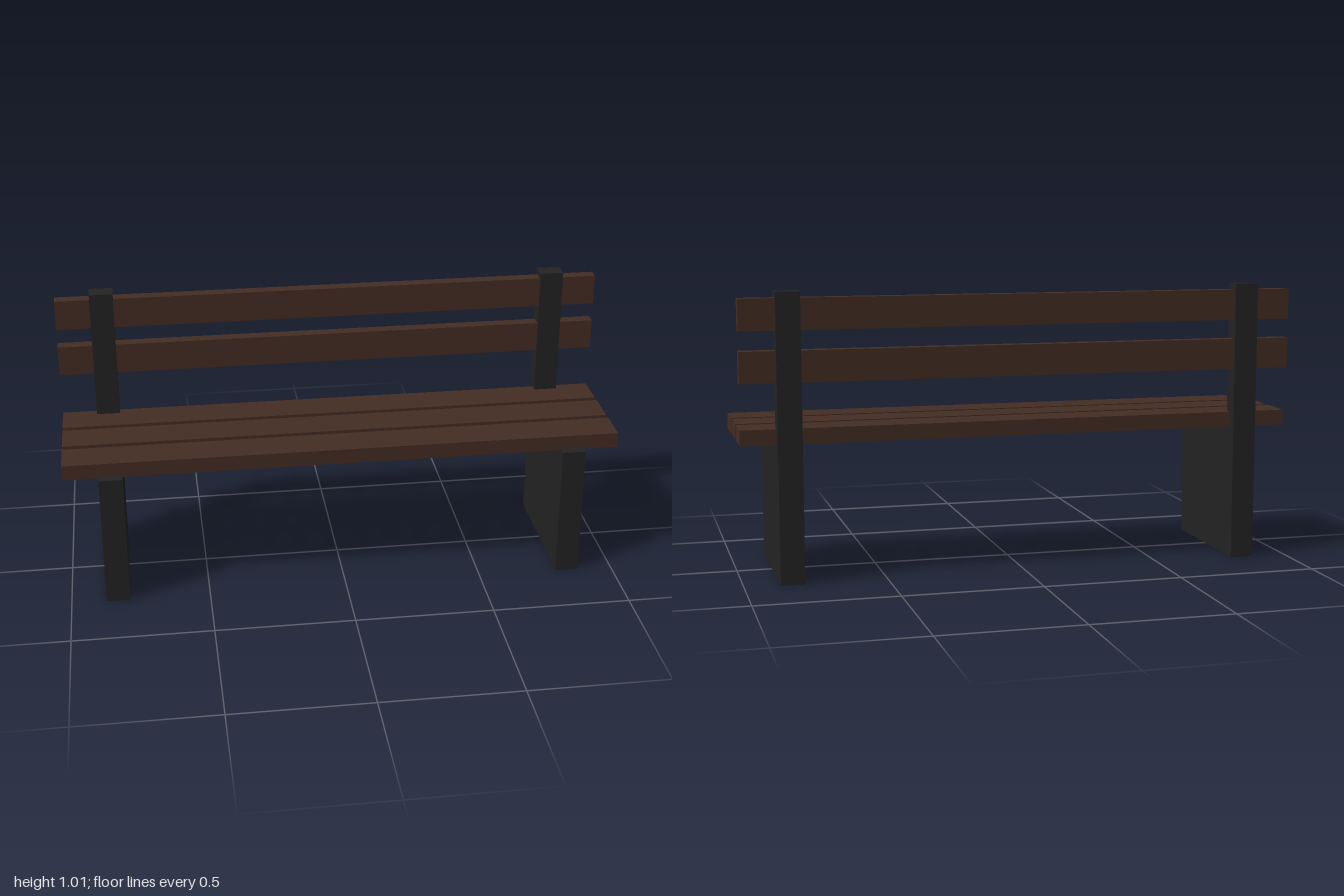
import * as THREE from 'three';

const wood = new THREE.MeshStandardMaterial({ color: 0x432d23 });
wood.name = 'dark brown wood';
const metal = new THREE.MeshStandardMaterial({ color: 0x232323 });
metal.name = 'charcoal support';

const LENGTH = 2, SUPPORT_WIDTH = 0.085, SUPPORT_X = 0.832;

// A full-length plank running along x
function slat(name, height, depth, y, z) {
  const mesh = new THREE.Mesh(new THREE.BoxGeometry(LENGTH, height, depth), wood);
  mesh.name = name;
  mesh.position.set(0, y, z);
  return mesh;
}

// L-shaped side profile: wide leg panel with a narrow post rising at the rear
function supportGeometry() {
  const profile = new THREE.Shape([
    [-0.255, 0], [0.255, 0], [0.255, 1.012], [0.19, 1.012], [0.19, 0.49], [-0.255, 0.49],
  ].map(([u, v]) => new THREE.Vector2(u, v)));
  return new THREE.ExtrudeGeometry(profile, { depth: SUPPORT_WIDTH, bevelEnabled: false })
    .translate(0, 0, -SUPPORT_WIDTH / 2)
    .rotateY(Math.PI / 2); // profile u becomes -z
}

export function createModel() {
  const bench = new THREE.Group();
  bench.name = 'bench';

  // Side supports
  const geometry = supportGeometry();
  for (const [name, side] of [['leftSupport', 1], ['rightSupport', -1]]) {
    const support = new THREE.Mesh(geometry, metal);
    support.name = name;
    support.position.x = side * SUPPORT_X;
    bench.add(support);
  }

  // Seat planks, front to back
  [0.156, 0.001, -0.154].forEach((z, i) =>
    bench.add(slat(`seatSlat${i + 1}`, 0.055, 0.132, 0.5125, z)));

  // Backrest planks passing through the posts
  [0.756, 0.935].forEach((y, i) =>
    bench.add(slat(`backSlat${i + 1}`, 0.11, 0.044, y, -0.222)));

  return bench;
}
